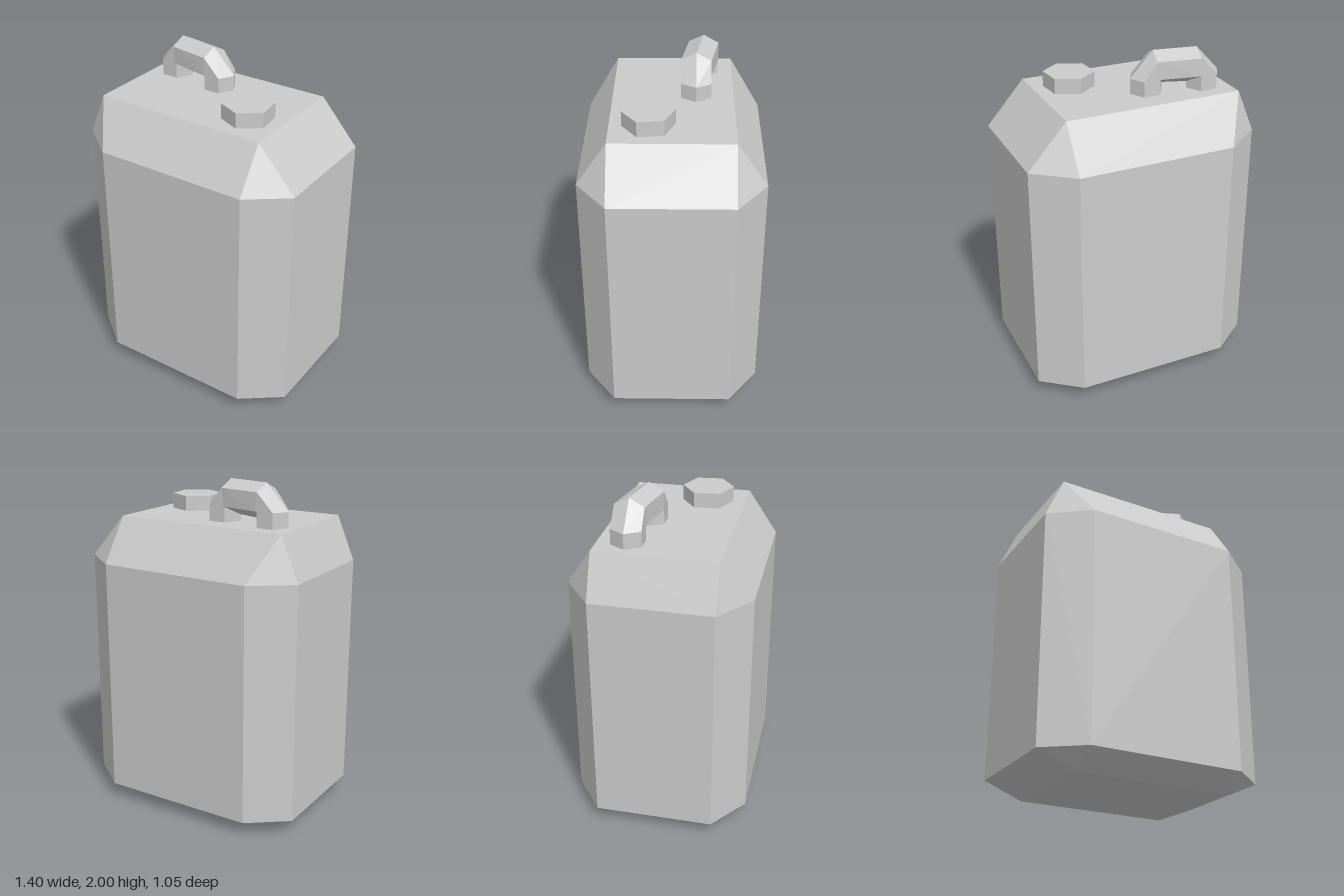
import * as THREE from 'three';
import { ConvexGeometry } from 'three/addons/geometries/ConvexGeometry.js';

const material = new THREE.MeshStandardMaterial({ color: 0xcccccc, flatShading: true });

function addPart(group, name, geometry) {
  const mesh = new THREE.Mesh(geometry, material);
  mesh.name = name;
  group.add(mesh);
  return mesh;
}

// Octagonal block with sloping shoulders and a chamfered foot
function bodyGeometry() {
  const points = [];
  const add = (x, y, z) => points.push(new THREE.Vector3(x, y, z));
  for (const sx of [-1, 1]) {
    for (const sz of [-1, 1]) {
      add(sx * 0.47, 0, sz * 0.35);
      for (const y of [0.09, 1.5]) {
        add(sx * 0.47, y, sz * 0.525);
        add(sx * 0.70, y, sz * 0.35);
      }
      // the top is wider on the handle side
      add(sx < 0 ? -0.59 : 0.47, 1.76, sz * 0.35);
    }
  }
  return new ConvexGeometry(points);
}

// Six-sided bar bent into an arch, its two legs slightly offset in z
function handleGeometry() {
  const halfWidth = 0.087, middle = -0.272;
  // Half the arch: [x, y] of outer ridge, shoulder, inner edge, inner ridge
  const half = [
    { profile: [[-0.54, 1.75], [-0.49, 1.75], [-0.39, 1.75], [-0.34, 1.75]], skew: 0 },
    { profile: [[-0.54, 1.85], [-0.49, 1.85], [-0.39, 1.85], [-0.34, 1.80]], skew: 0 },
    { profile: [[-0.40, 2.00], [-0.40, 1.955], [-0.39, 1.85], [-0.34, 1.80]], skew: -0.12 },
  ];
  const stations = [
    ...half.map((s) => ({ ...s, z: -0.178, mirror: false })),
    ...[...half].reverse().map((s) => ({ ...s, z: -0.132, mirror: true })),
  ];
  const ring = [[0, 0], [1, 1], [2, 1], [3, 0], [2, -1], [1, -1]]; // profile point, side
  const positions = [], index = [];
  stations.forEach(({ profile, skew, z, mirror }, i) => {
    ring.forEach(([p, side], j) => {
      const [x, y] = profile[p];
      const dz = side * halfWidth;
      positions.push((mirror ? 2 * middle - x : x) + skew * dz, y, z + dz);
      if (i === stations.length - 1) return;
      const a = i * 6 + j, b = i * 6 + (j + 1) % 6;
      index.push(a, b, b + 6, a, b + 6, a + 6);
    });
  });
  const geometry = new THREE.BufferGeometry();
  geometry.setAttribute('position', new THREE.Float32BufferAttribute(positions, 3));
  geometry.setIndex(index);
  const flat = geometry.toNonIndexed();
  flat.computeVertexNormals();
  return flat;
}

export function createModel() {
  const group = new THREE.Group();
  group.name = 'canister';

  addPart(group, 'body', bodyGeometry());
  addPart(group, 'handle', handleGeometry());

  // Hexagonal filler cap
  const cap = addPart(group, 'cap', new THREE.CylinderGeometry(0.15, 0.15, 0.1, 6));
  cap.position.set(0.263, 1.80, 0.13);
  cap.rotation.y = 0.11;

  return group;
}
